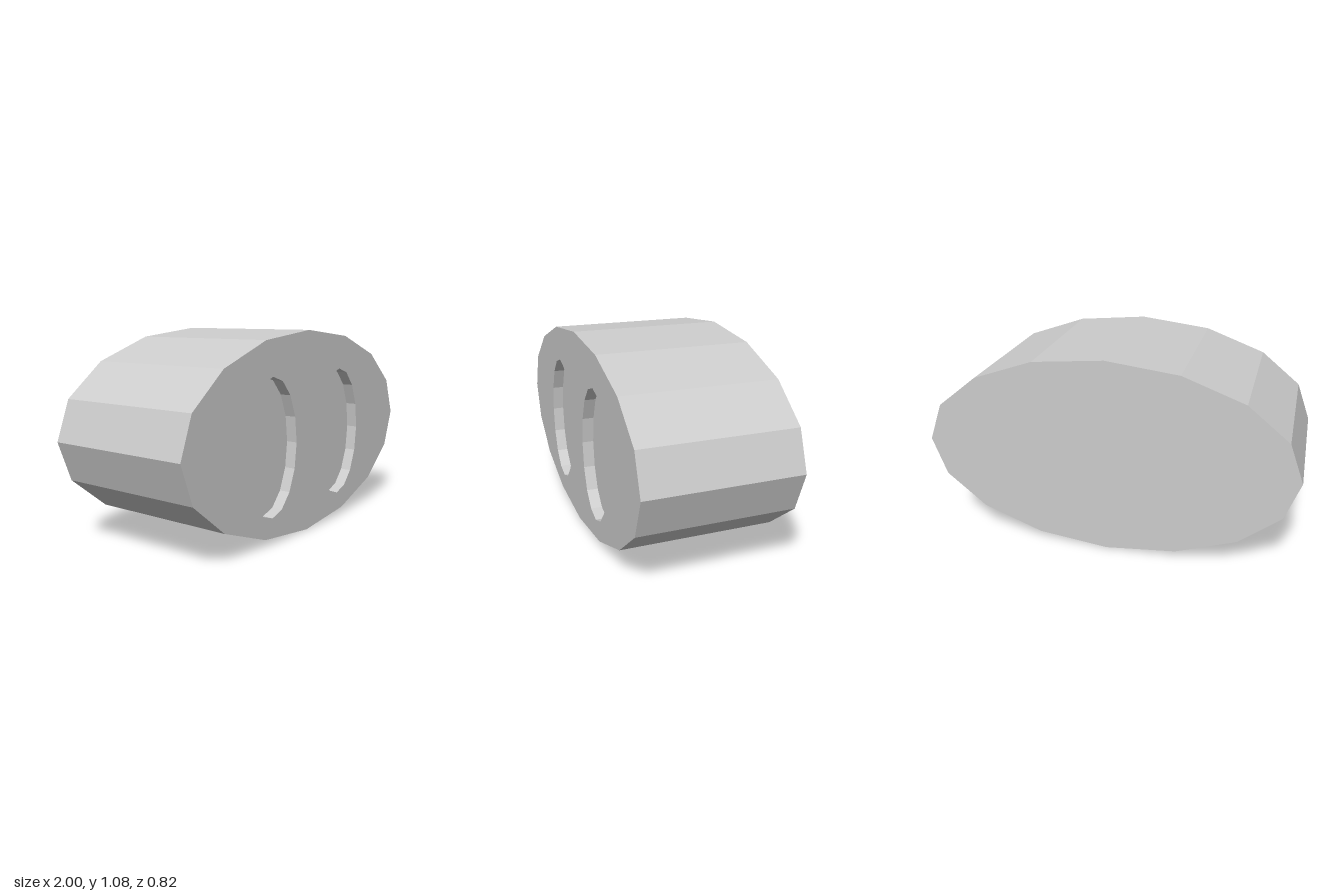
import * as THREE from 'three';

const SIDES = 16;
const RX = 1, RY = 0.541, HALF = 0.41;               // snout body
const NX = 0.323, NY = 0.5, NRX = 0.215, NRY = 0.36; // nostrils
const RECESS = 0.06;

const material = new THREE.MeshStandardMaterial({ color: 0xcccccc, flatShading: true });
const inside = material.clone();
inside.side = THREE.BackSide;

// Corners of a 16-sided oval
function oval(cx, cy, rx, ry) {
  return Array.from({ length: SIDES }, (_, i) => {
    const a = (i / SIDES) * Math.PI * 2;
    return new THREE.Vector2(cx + rx * Math.cos(a), cy + ry * Math.sin(a));
  });
}

// Open oval tube along z
function ovalWall(rx, ry, depth) {
  return new THREE.CylinderGeometry(1, 1, depth, SIDES, 1, true).rotateX(Math.PI / 2).scale(rx, ry, 1);
}

function add(parent, name, geometry, mat, x, y, z) {
  const mesh = new THREE.Mesh(geometry, mat);
  mesh.name = name;
  mesh.position.set(x, y, z);
  parent.add(mesh);
  return mesh;
}

export function createModel() {
  const model = new THREE.Group();
  model.name = 'snout';

  // Outer wall and plain back
  add(model, 'sideWall', ovalWall(RX, RY, HALF * 2), material, 0, RY, 0);
  const back = new THREE.ShapeGeometry(new THREE.Shape(oval(0, RY, RX, RY))).rotateY(Math.PI);
  add(model, 'backFace', back, material, 0, 0, -HALF);

  // Front face with two nostril openings
  const front = new THREE.Shape(oval(0, RY, RX, RY));
  for (const s of [-1, 1]) front.holes.push(new THREE.Path(oval(s * NX, NY, NRX, NRY).reverse()));
  add(model, 'frontFace', new THREE.ShapeGeometry(front), material, 0, 0, HALF);

  // Shallow nostril recesses
  for (const s of [-1, 1]) {
    const nostril = new THREE.Group();
    nostril.name = s > 0 ? 'leftNostril' : 'rightNostril';
    nostril.position.set(s * NX, NY, HALF);
    add(nostril, 'nostrilWall', ovalWall(NRX, NRY, RECESS), inside, 0, 0, -RECESS / 2);
    const floor = new THREE.ShapeGeometry(new THREE.Shape(oval(0, 0, NRX, NRY)));
    add(nostril, 'nostrilFloor', floor, material, 0, 0, -RECESS);
    model.add(nostril);
  }
  return model;
}
